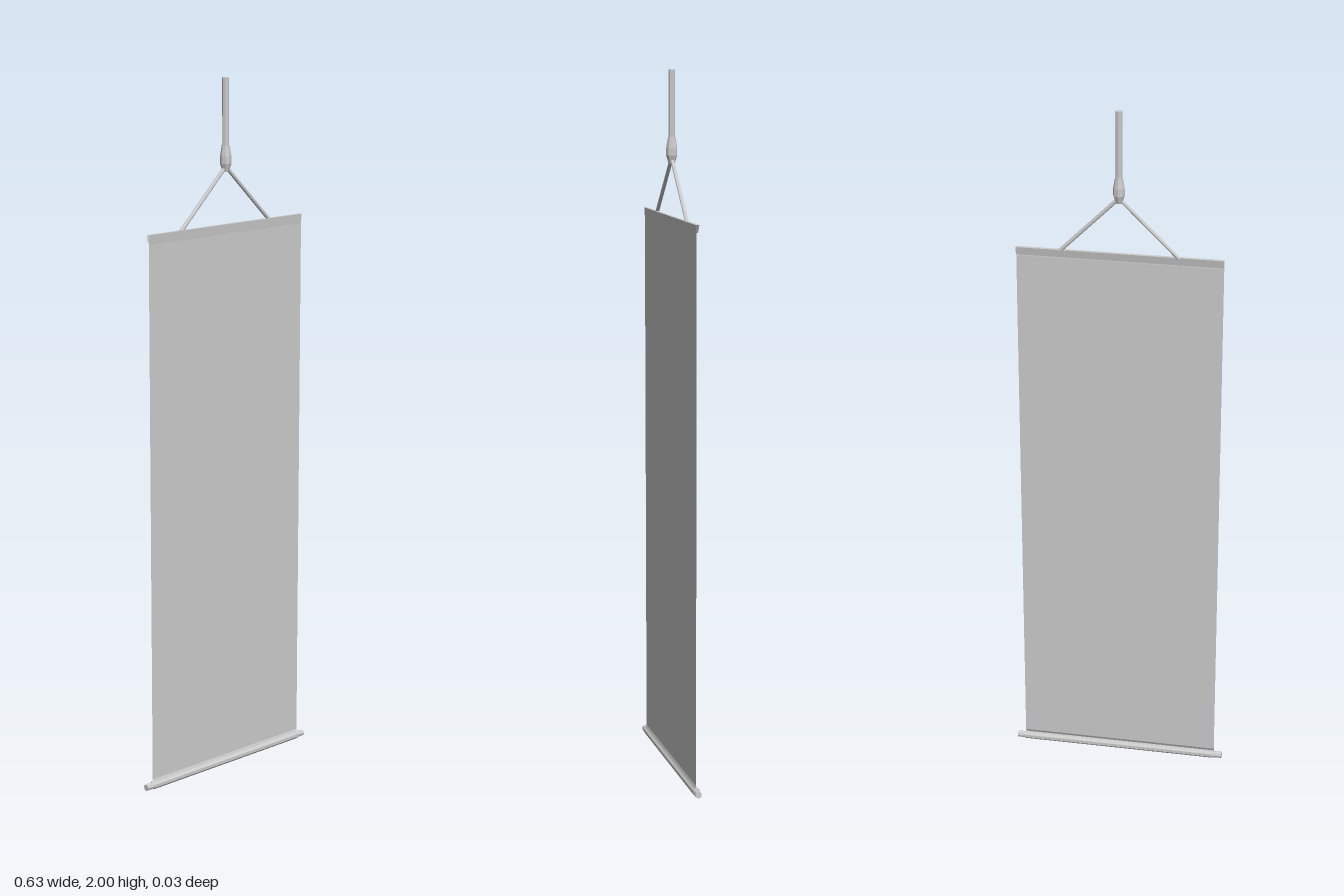
import * as THREE from 'three';

const solid = new THREE.MeshStandardMaterial({ color: 0xcccccc, flatShading: true });
const cloth = new THREE.MeshStandardMaterial({ color: 0xcccccc, flatShading: true, side: THREE.DoubleSide });

function add(group, name, geometry, material = solid) {
  const mesh = new THREE.Mesh(geometry, material);
  mesh.name = name;
  group.add(mesh);
  return mesh;
}

// Straight rod between two points
function rod(a, b, radius, sides) {
  const dir = b.clone().sub(a);
  const geo = new THREE.CylinderGeometry(radius, radius, dir.length(), sides);
  geo.applyQuaternion(new THREE.Quaternion().setFromUnitVectors(new THREE.Vector3(0, 1, 0), dir.normalize()));
  const mid = a.clone().add(b).multiplyScalar(0.5);
  return geo.translate(mid.x, mid.y, mid.z);
}

// Sheet swept along x from a [y, z] profile
function sheet(profile, halfWidth) {
  const pos = [], index = [];
  profile.forEach(([y, z], i) => {
    pos.push(-halfWidth, y, z, halfWidth, y, z);
    if (i > 0) {
      const k = 2 * i;
      index.push(k - 2, k, k - 1, k - 1, k, k + 1);
    }
  });
  const geo = new THREE.BufferGeometry();
  geo.setAttribute('position', new THREE.Float32BufferAttribute(pos, 3));
  geo.setIndex(index);
  geo.computeVertexNormals();
  return geo;
}

export function createModel() {
  const group = new THREE.Group();
  const v = (x, y, z) => new THREE.Vector3(x, y, z);
  const rodY = 0.0115, rodZ = 0.003;

  // Cloth: folded top hem, flat face, sleeve wrapped round the bottom rod
  const profile = [[1.575, 0.002], [1.597, -0.002], [1.597, 0.008], [1.57, 0.006], [0.03, 0.004]];
  for (let i = 0; i <= 8; i++) {
    const a = Math.PI * (0.375 - i / 4);
    profile.push([rodY + 0.0115 * Math.sin(a), rodZ + 0.0105 * Math.cos(a)]);
  }
  profile.push([0.03, 0.003]);
  add(group, 'banner', sheet(profile, 0.289), cloth);

  // Bottom weight rod
  add(group, 'bottomRod', rod(v(-0.313, rodY, rodZ), v(0.313, rodY, rodZ), 0.0095, 8));

  // Two slanting cords
  for (const side of [-1, 1]) {
    add(group, side > 0 ? 'leftCord' : 'rightCord',
      rod(v(0, 1.757, 0), v(side * 0.166, 1.594, 0), 0.0055, 8));
  }

  // Ferrule gathering the cords under the hanging pole
  const points = [[0, 1.743], [0.009, 1.743], [0.016, 1.765], [0.016, 1.785], [0.011, 1.815], [0, 1.815]]
    .map(([r, y]) => new THREE.Vector2(r, y));
  add(group, 'ferrule', new THREE.LatheGeometry(points, 8));
  add(group, 'hangingPole', rod(v(0, 1.8, 0), v(0, 2, 0), 0.0095, 8));

  return group;
}
